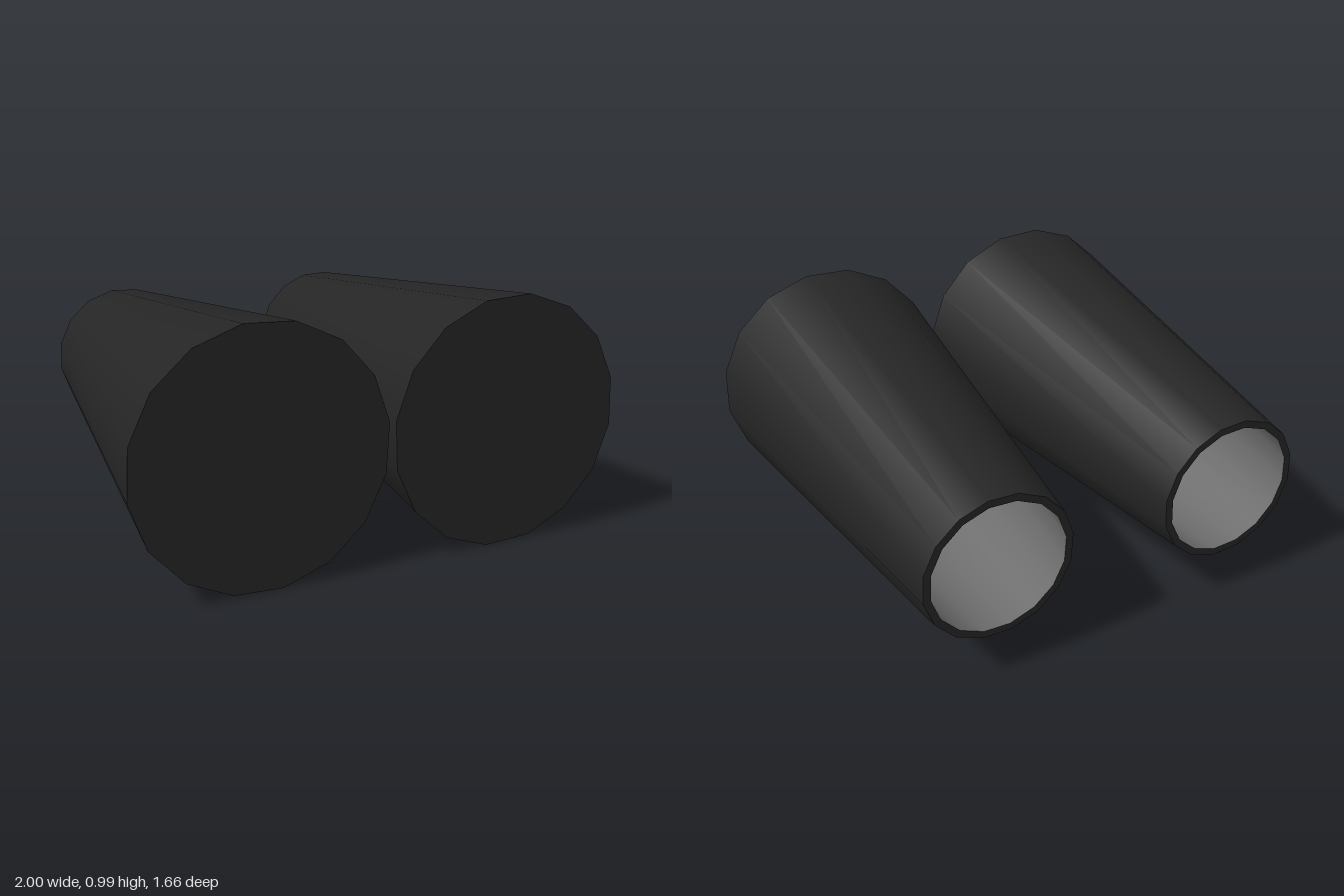
import * as THREE from 'three';

const SIDES = 16, HALF = 0.83, FRONT_R = 0.498, BACK_R = 0.304, WALL = 0.03;

export function createModel() {
  const black = new THREE.MeshStandardMaterial({ color: 0x252525 });
  black.name = 'black';
  const grey = new THREE.MeshStandardMaterial({ color: 0x6e6e6e, side: THREE.DoubleSide });
  grey.name = 'grey';

  const model = new THREE.Group();
  model.name = 'twinTubes';

  const add = (parent, name, geometry, material, z = 0) => {
    const mesh = new THREE.Mesh(geometry.translate(0, 0, z), material);
    mesh.name = name;
    parent.add(mesh);
  };
  // Open tapered wall running along z, wide end at the front
  const wall = (front, back, length) =>
    new THREE.CylinderGeometry(front, back, length, SIDES, 1, true).rotateX(Math.PI / 2);

  for (const side of [-1, 1]) {
    const tube = new THREE.Group();
    tube.name = side < 0 ? 'rightTube' : 'leftTube';
    tube.position.set(side * 0.506, 0.4975, 0);
    tube.rotation.z = -side * THREE.MathUtils.degToRad(8.4); // mirrored facet turn

    add(tube, 'outerWall', wall(FRONT_R, BACK_R, HALF * 2), black);
    add(tube, 'frontCap', new THREE.CircleGeometry(FRONT_R, SIDES), black, HALF);
    add(tube, 'backRim', new THREE.RingGeometry(BACK_R - WALL, BACK_R, SIDES).rotateY(Math.PI), black, -HALF);

    // Hollow inside, open at the back
    const depth = HALF * 2 - WALL;
    add(tube, 'innerWall', wall(FRONT_R - WALL, BACK_R - WALL, depth), grey, -WALL / 2);
    add(tube, 'innerEnd', new THREE.CircleGeometry(FRONT_R - WALL, SIDES).rotateY(Math.PI), grey, HALF - WALL);
    model.add(tube);
  }
  return model;
}
